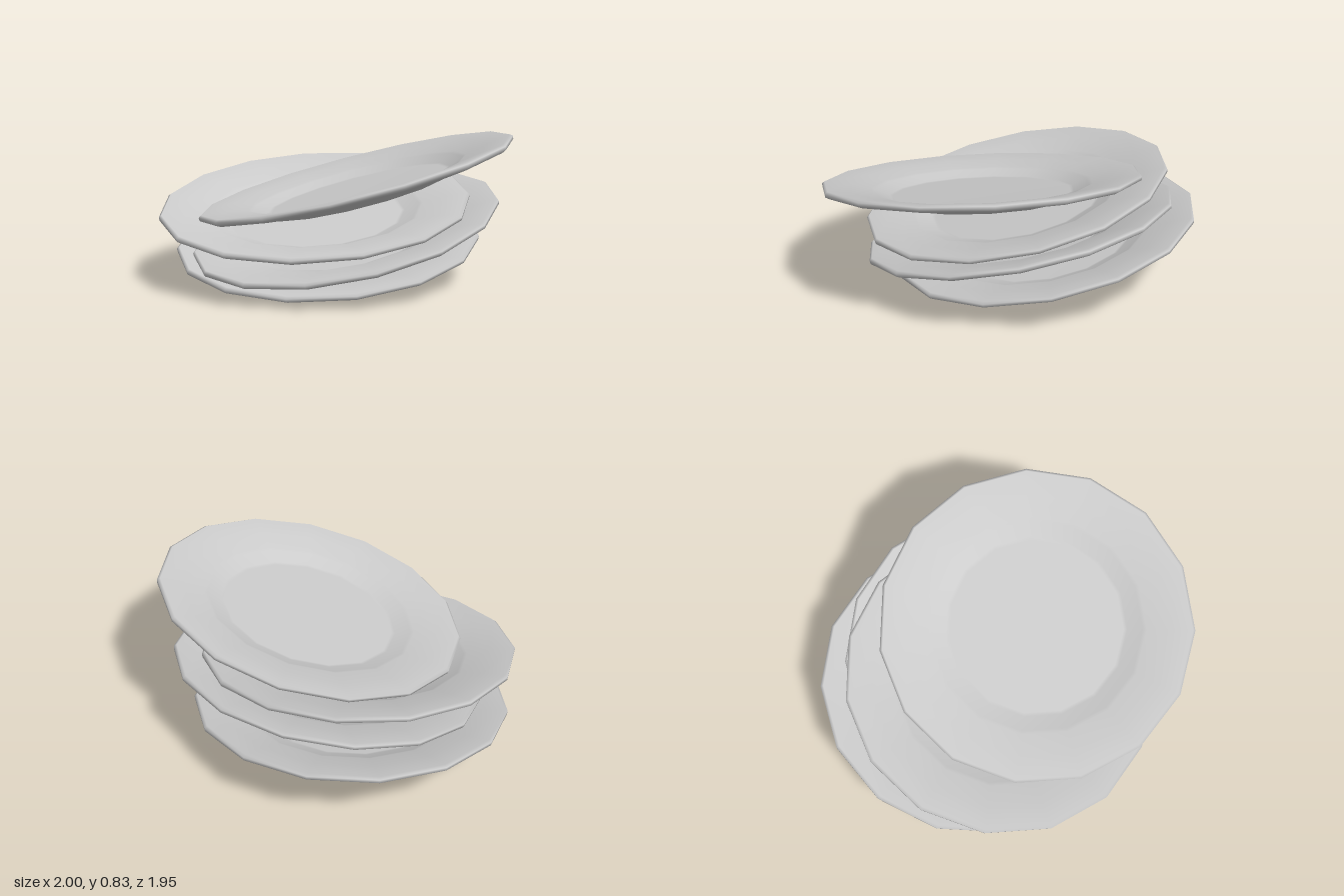
import * as THREE from 'three';

const SIDES = 15;

// Plate cross-section: underside centre -> rim -> floor centre (y = 0 at rim)
const PROFILE = [
  [0, -0.098], [0.46, -0.098], [0.5, -0.095], [0.6, -0.066],
  [0.835, -0.02], [0.858, -0.008], [0.86, 0.01], [0.845, 0.02],
  [0.72, 0], [0.6, -0.026], [0.58, -0.034], [0.5, -0.066], [0.48, -0.07], [0, -0.07],
].map(([r, y]) => new THREE.Vector2(r, y));

// Rim centre, slopes along x and z, and turn of the rim corners in degrees
const PLATES = [
  { name: 'bottomPlate', at: [-0.15, 0.207, -0.14], slope: [-0.04, -0.2], turn: 4 },
  { name: 'secondPlate', at: [0.01, 0.318, -0.045], slope: [0.094, -0.242], turn: 4.5 },
  { name: 'thirdPlate', at: [-0.14, 0.44, 0.03], slope: [-0.053, -0.2], turn: -3 },
  { name: 'topPlate', at: [0.16, 0.61, 0.12], slope: [0.228, -0.12], turn: -1 },
];

function makePlate({ name, at, slope, turn }, material) {
  const start = THREE.MathUtils.degToRad(90 - turn);
  const plate = new THREE.Mesh(new THREE.LatheGeometry(PROFILE, SIDES, start), material);
  plate.name = name;
  plate.position.set(...at);
  // Lean the plate so its axis follows the normal of the sloping plane
  const normal = new THREE.Vector3(-slope[0], 1, -slope[1]).normalize();
  plate.quaternion.setFromUnitVectors(new THREE.Vector3(0, 1, 0), normal);
  return plate;
}

export function createModel() {
  const group = new THREE.Group();
  group.name = 'plateStack';
  const material = new THREE.MeshStandardMaterial({ color: 0xcccccc });
  for (const plate of PLATES) group.add(makePlate(plate, material));
  return group;
}
